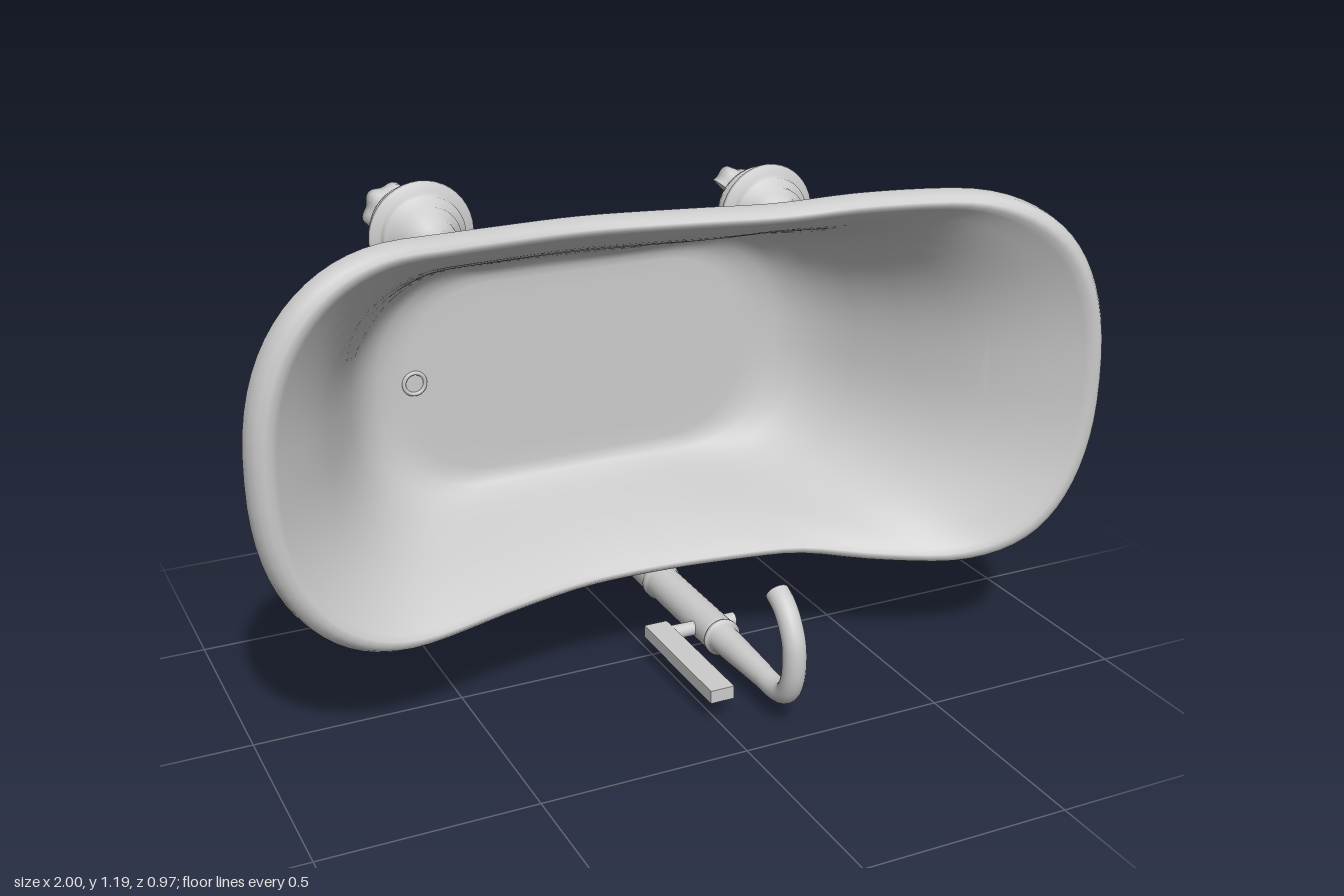
import * as THREE from 'three';

const material = new THREE.MeshStandardMaterial({ color: 0xcccccc, side: THREE.DoubleSide });
const MID_Y = 0.711;
const SEG = 120;

function add(parent, geometry, name) {
  const mesh = new THREE.Mesh(geometry, material);
  mesh.name = name;
  parent.add(mesh);
  return mesh;
}

// Smooth curve through (x, value) pairs
function curveOf(pairs) {
  const f = new THREE.CubicInterpolant(pairs.map(p => p[0]), pairs.map(p => p[1]), 1);
  return x => f.evaluate(THREE.MathUtils.clamp(x, pairs[0][0], pairs[pairs.length - 1][0]))[0];
}

// Swooping height of the rim and the slight waist of the sides
const rimZ = curveOf([[-1, 0.148], [-0.85, 0.148], [-0.6, 0.118], [-0.4, 0.073], [-0.2, 0.042], [0, 0.053],
  [0.2, 0.085], [0.35, 0.116], [0.5, 0.185], [0.7, 0.275], [0.85, 0.335], [1, 0.358]]);
const waist = curveOf([[-1, 0], [-0.65, 0], [-0.4, 0.012], [-0.2, 0.02], [0.1, 0.028], [0.3, 0.028],
  [0.47, 0.008], [0.6, 0], [1, 0]]);

// Outline point at parameter a: straight sides over the share k, rounded ends beyond
const END_ANGLE = 0.9;
function outline(a, xL, xR, half, k) {
  const c = Math.cos(a), s = Math.sin(a);
  const q = Math.atan2(Math.abs(s), Math.abs(c));
  let x, y = 1;
  if (q < END_ANGLE) {
    const b = q / END_ANGLE * Math.PI / 2;
    x = k + (1 - k) * Math.cos(b) ** 0.86;
    y = Math.sin(b) ** 0.86;
  } else x = k * (Math.PI / 2 - q) / (Math.PI / 2 - END_ANGLE);
  return [(xL + xR) / 2 + Math.sign(c) * x * (xR - xL) / 2, Math.sign(s) * y * half];
}
const floorOut = a => outline(a, -0.61, 0.43, 0.3, 0.5);
const floorIn = a => outline(a, -0.56, 0.39, 0.25, 0.47);
const rimAt = (a, inset) => {
  const [x, y] = outline(a, -1 + inset, 1 - inset, 0.465 - inset * 0.65, 0.62);
  return [x, y * (1 - waist(x) / 0.465)];
};

// Wall sections: [outward, upward] as shares of the way from floor to rim
const wallOut = [[0, 0], [0.1, 0.04], [0.19, 0.1], [0.27, 0.18], [0.38, 0.39], [0.44, 0.52], [0.5, 0.645],
  [0.56, 0.74], [0.63, 0.82], [0.76, 0.915], [0.88, 0.965], [1, 1]];
const wallIn = [[0, 0], [0.1, 0.02], [0.19, 0.07], [0.28, 0.16], [0.36, 0.275], [0.48, 0.46], [0.6, 0.63],
  [0.7, 0.745], [0.8, 0.84], [0.9, 0.925], [1, 1]];

function tubGeometry() {
  const rings = [];
  const floorRing = (fn, k, z) => rings.push(a => { const [x, y] = fn(a); return [-0.09 + (x + 0.09) * k, y * k, z]; });
  const wallRing = (fn, inset, z0, lift, [u, v]) => rings.push(a => {
    const f = fn(a), r = rimAt(a, inset);
    const top = rimZ(r[0]) + lift;
    return [f[0] + (r[0] - f[0]) * u, f[1] + (r[1] - f[1]) * u, z0 + (top - z0) * v];
  });
  // outer shell, from the middle of the slightly crowned underside to the lip
  for (const k of [0, 0.4, 0.7, 0.87, 0.95]) floorRing(floorOut, k, -0.31 + 0.015 * k ** 4);
  wallOut.forEach(p => wallRing(floorOut, 0.022, -0.293, 0, p));
  // rolled lip standing slightly proud of the wall
  for (const [inset, lift] of [[0.02, -0.008], [0.005, -0.006], [0, 0.004], [0.005, 0.03], [0.017, 0.046],
    [0.032, 0.056], [0.048, 0.056]])
    rings.push(a => { const [x, y] = rimAt(a, inset); return [x, y, rimZ(x) + lift]; });
  // inner shell, back down to the middle of the floor
  [...wallIn].reverse().forEach(p => wallRing(floorIn, 0.062, -0.23, 0.045, p));
  for (const k of [0.93, 0.75, 0.4, 0]) floorRing(floorIn, k, -0.233);

  const pos = [], index = [];
  rings.forEach((ring, i) => {
    for (let j = 0; j < SEG; j++) {
      const [x, y, z] = ring(j / SEG * Math.PI * 2);
      pos.push(x, y + MID_Y, z);
      if (i === rings.length - 1) continue;
      const a = i * SEG + j, b = a + SEG, c = i * SEG + (j + 1) % SEG, d = c + SEG;
      index.push(a, c, b, b, c, d);
    }
  });
  const g = new THREE.BufferGeometry();
  g.setAttribute('position', new THREE.Float32BufferAttribute(pos, 3));
  g.setIndex(index);
  g.computeVertexNormals();
  return g;
}

// Turned piece along z from [radius, z] pairs, z rising
function turned(profile, sides = 32) {
  const g = new THREE.LatheGeometry(profile.map(([r, z]) => new THREE.Vector2(r, z)), sides);
  return g.rotateX(Math.PI / 2);
}

// Stepped finial and disc that hold a foot to the tub
const mountGeometry = () => turned([[0, -0.313], [0.108, -0.312], [0.114, -0.295],
  [0.106, -0.285], [0.112, -0.272], [0.126, -0.258], [0.124, -0.25], [0.104, -0.245], [0.099, -0.24], [0.097, -0.225],
  [0.079, -0.222], [0.077, -0.2], [0.062, -0.197], [0.057, -0.172], [0.036, -0.167],
  [0.034, -0.147], [0.02, -0.129], [0, -0.123]], 40);

// Half-round leg with scalloped toes, its flat side facing -x
function legGeometry() {
  const g = turned([[0, -0.472], [0.05, -0.472], [0.068, -0.47], [0.068, -0.445], [0.058, -0.432], [0.046, -0.42],
    [0.041, -0.39], [0.045, -0.36], [0.054, -0.335], [0.066, -0.318], [0.078, -0.312]], 40);
  const p = g.attributes.position;
  for (let i = 0; i < p.count; i++) {
    const t = THREE.MathUtils.smoothstep(-p.getZ(i), 0.41, 0.445);
    const k = 1 - 0.08 * t * (1 - Math.cos(6 * Math.atan2(p.getY(i), p.getX(i))));
    p.setXY(i, Math.max(p.getX(i) * k, -0.012), p.getY(i) * k);
  }
  g.computeVertexNormals();
  return g;
}

function createFaucet() {
  const faucet = new THREE.Group();
  faucet.name = 'faucet';
  faucet.position.set(0.14, 0.07, 0);
  // standing column with flange and collars
  add(faucet, turned([[0, -0.48], [0.066, -0.48], [0.066, -0.45], [0.058, -0.442], [0.047, -0.43], [0.044, -0.4],
    [0.045, -0.26], [0.05, -0.25], [0.05, -0.235], [0.045, -0.225], [0.045, 0.085], [0.041, 0.09], [0.041, 0.097],
    [0.047, 0.099], [0.047, 0.108], [0.037, 0.112], [0.035, 0.18], [0.032, 0.24], [0.029, 0.32]]), 'faucetColumn');
  // hooked spout
  const path = new THREE.CatmullRomCurve3([[0, 0.18], [0, 0.3], [0, 0.39], [0.015, 0.427], [0.06, 0.452], [0.14, 0.455],
    [0.19, 0.434], [0.225, 0.403], [0.243, 0.37]].map(([y, z]) => new THREE.Vector3(0, y, z)));
  add(faucet, new THREE.TubeGeometry(path, 48, 0.028, 20), 'spout');
  const end = add(faucet, new THREE.CircleGeometry(0.028, 20), 'spoutEnd');
  end.position.copy(path.getPoint(1));
  end.lookAt(path.getPoint(1).add(path.getTangent(1)).add(faucet.position));
  // cross pin carrying the flat lever
  const pin = add(faucet, new THREE.CylinderGeometry(0.018, 0.018, 0.22, 20), 'leverPin');
  pin.rotation.z = Math.PI / 2;
  pin.position.set(-0.04, 0, 0.03);
  const lever = add(faucet, new THREE.BoxGeometry(0.06, 0.032, 0.36), 'lever');
  lever.position.set(-0.13, 0.002, 0.178);
  return faucet;
}

export function createModel() {
  const model = new THREE.Group();
  model.name = 'bathtub';
  add(model, tubGeometry(), 'tub');

  // drain ring in the floor
  add(model, new THREE.TorusGeometry(0.026, 0.005, 8, 28), 'drainRing').position.set(-0.505, 0.722, -0.23);

  // four feet, the pair at the high end set closer together; each leg faces its own corner
  const mount = mountGeometry(), leg = legGeometry();
  for (const [x, offset] of [[-0.462, 0.354], [0.435, 0.302]])
    for (const side of [-1, 1]) {
      const foot = new THREE.Group();
      foot.name = 'foot';
      foot.position.set(x, MID_Y + 0.004 + side * offset, 0);
      add(foot, mount, 'footMount');
      const shaft = add(foot, leg, 'footLeg');
      shaft.position.set(Math.sign(x) * 0.01, side * 0.01, 0);
      shaft.rotation.z = Math.atan2(side, Math.sign(x));
      model.add(foot);
    }

  model.add(createFaucet());
  return model;
}
